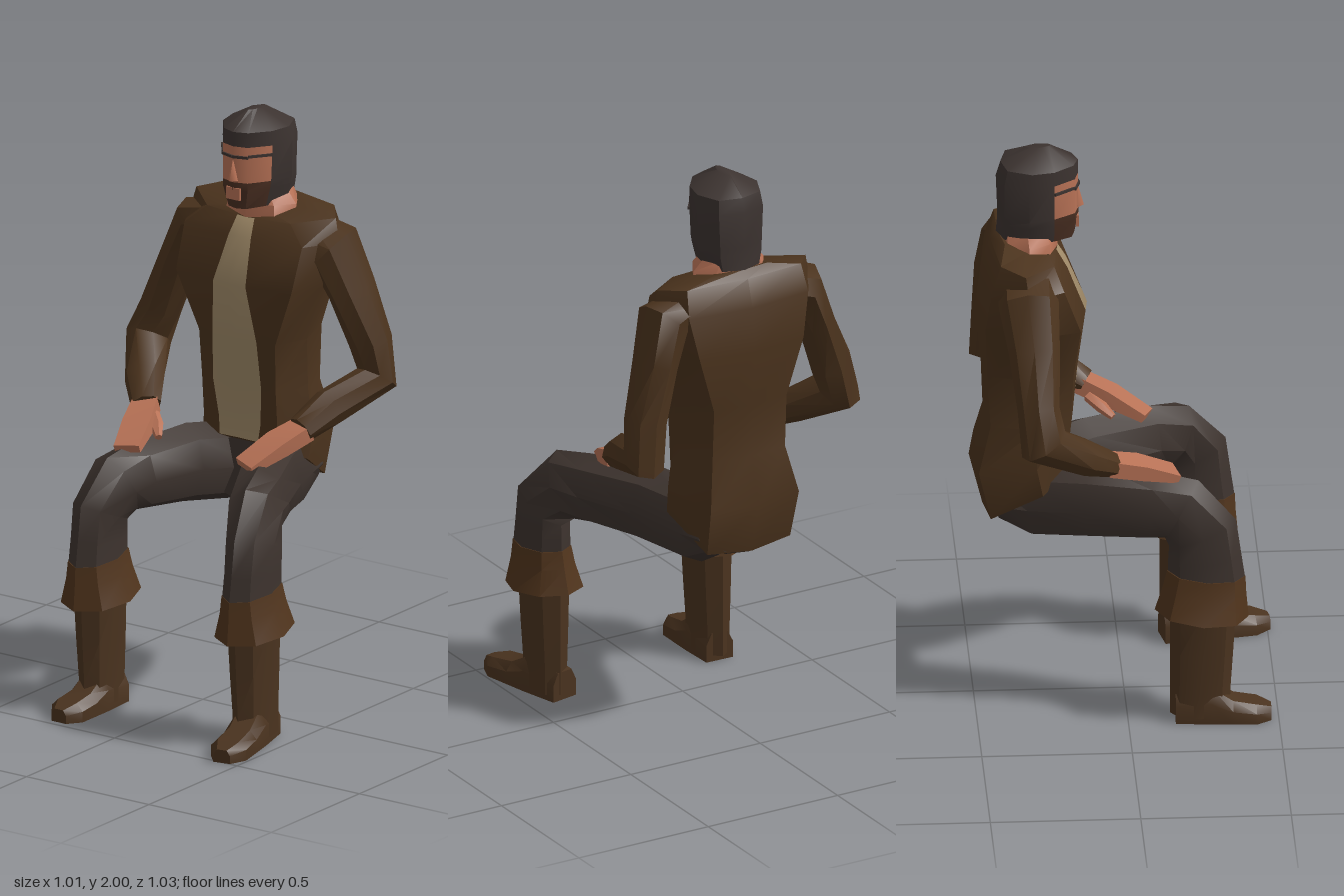
import * as THREE from 'three';
import { toCreasedNormals } from 'three/addons/utils/BufferGeometryUtils.js';

const mat = (name, color) => {
  const m = new THREE.MeshStandardMaterial({ color });
  m.name = name;
  return m;
};

export function createModel() {
  const group = new THREE.Group();
  const coat = mat('coat brown', 0x4b331d);
  const shirt = mat('shirt cream', 0xa08a68);
  const trousers = mat('trouser grey', 0x3d332e);
  const hair = mat('hood grey', 0x3c3330);
  const skin = mat('skin', 0xb87256);
  const beard = mat('beard brown', 0x4a2f22);
  const cuffBrown = mat('cuff brown', 0x50341c);
  const bootBrown = mat('boot brown', 0x4a331f);

  const add = (name, geo, material) => {
    const mesh = new THREE.Mesh(geo, material);
    mesh.name = name;
    group.add(mesh);
    return mesh;
  };

  // Skin closed rings of points into a capped solid; pick(row, side) gives a material index
  function loft(name, rings, mats, pick = () => 0, crease = 0.7) {
    const n = rings[0].length;
    const list = [].concat(mats);
    const faces = list.map(() => []);
    for (let i = 0; i < rings.length - 1; i++) {
      for (let j = 0; j < n; j++) {
        const a = i * n + j, b = i * n + (j + 1) % n;
        faces[pick(i, j)].push(a, b, b + n, a, b + n, a + n);
      }
    }
    const top = (rings.length - 1) * n;
    for (let j = 1; j < n - 1; j++) {
      faces[0].push(0, j + 1, j, top, top + j, top + j + 1);
    }
    const geo = new THREE.BufferGeometry();
    geo.setAttribute('position', new THREE.Float32BufferAttribute(rings.flat(2), 3));
    geo.setIndex(faces.flat());
    let start = 0;
    faces.forEach((f, k) => { geo.addGroup(start, f.length, k); start += f.length; });
    return add(name, toCreasedNormals(geo, crease), Array.isArray(mats) ? mats : list[0]);
  }

  // Limb through sections [x, y, z, half width, half depth]
  function limb(name, sections, material, n = 8, turn = 0) {
    const pts = sections.map(s => new THREE.Vector3(s[0], s[1], s[2]));
    const rings = sections.map((s, i) => {
      const t = new THREE.Vector3();
      if (i > 0) t.add(pts[i].clone().sub(pts[i - 1]).normalize());
      if (i < pts.length - 1) t.add(pts[i + 1].clone().sub(pts[i]).normalize());
      t.normalize();
      const u = new THREE.Vector3(1, 0, 0).addScaledVector(t, -t.x).normalize();
      const v = t.clone().cross(u);
      return Array.from({ length: n }, (_, j) => {
        const a = turn + j / n * Math.PI * 2;
        return pts[i].clone().addScaledVector(u, Math.cos(a) * s[3])
          .addScaledVector(v, Math.sin(a) * s[4]).toArray();
      });
    });
    return loft(name, rings, material);
  }

  // Symmetric ten-point ring: [yFront, yBack, four (x, z) pairs front to back, zFront, zBack]
  function bodyRing(cx, [yF, yB, s, zs, a, za, w, zw, b, zb, zf, zc]) {
    const half = [[s, zs], [a, za], [w, zw], [b, zb]];
    const loop = [[0, zf], ...half, [0, zc], ...half.slice().reverse().map(([x, z]) => [-x, z])];
    return loop.map(([x, z]) => [cx + x, yF + (yB - yF) * (zf - z) / (zf - zc), z]);
  }
  const front = j => j === 0 || j === 9;
  const face = j => front(j) || j === 1 || j === 8;

  // Jacket, with the shirt showing down the front
  const torso = [
    [.87, .69, .078, -.185, .14, -.19, .215, -.28, .16, -.45, -.18, -.47],
    [.93, .87, .085, -.19, .15, -.195, .222, -.3, .17, -.49, -.185, -.515],
    [1.06, 1.03, .098, -.175, .15, -.185, .2, -.3, .14, -.45, -.165, -.468],
    [1.22, 1.22, .09, -.16, .155, -.175, .195, -.3, .14, -.46, -.15, -.475],
    [1.42, 1.42, .066, -.13, .235, -.155, .27, -.28, .2, -.47, -.122, -.495],
    [1.57, 1.57, .045, -.19, .24, -.21, .305, -.33, .23, -.45, -.185, -.475],
    [1.63, 1.665, .035, -.225, .17, -.24, .285, -.34, .22, -.42, -.22, -.445],
    [1.645, 1.69, .02, -.25, .08, -.26, .13, -.33, .1, -.4, -.245, -.42],
  ].map(r => bodyRing(.014, r));
  loft('jacket', torso, [coat, shirt], (i, j) => (i < 6 && front(j) ? 1 : 0));

  // Neck
  limb('neck', [[.015, 1.6, -.32, .14, .1], [.015, 1.675, -.32, .135, .1],
    [.015, 1.72, -.325, .095, .09], [.015, 1.78, -.31, .08, .08]], skin);

  // Head: hood, face and beard in one surface
  const head = [
    [1.675, 1.69, .035, -.175, .075, -.235, .1, -.32, .07, -.4, -.165, -.425],
    [1.745, 1.745, .05, -.165, .092, -.235, .115, -.32, .08, -.4, -.15, -.42],
    [1.77, 1.77, .05, -.165, .096, -.235, .12, -.32, .08, -.4, -.15, -.42],
    [1.895, 1.895, .05, -.165, .102, -.235, .122, -.32, .085, -.4, -.152, -.425],
    [1.945, 1.945, .05, -.17, .1, -.235, .115, -.31, .08, -.39, -.152, -.41],
    [2, 1.995, .01, -.25, .015, -.27, .02, -.29, .01, -.31, -.24, -.33],
  ].map(r => bodyRing(.014, r));
  loft('head', head, [hair, skin, beard], (i, j) => {
    if (!face(j) || i > 2) return 0;
    return i === 2 ? 1 : 2;
  });

  // Nose, mouth and brows
  const nose = add('nose', new THREE.ConeGeometry(.02, .075, 4), skin);
  nose.position.set(.014, 1.815, -.152);
  const plate = (name, w, h, x, y, z, ry, material) => {
    const m = add(name, new THREE.BoxGeometry(w, h, .009), material);
    m.position.set(x, y, z);
    m.rotation.y = ry;
  };
  plate('mouth', .055, .042, .014, 1.73, -.155, 0, skin);
  for (const s of [-1, 1]) {
    plate('brow', .055, .009, .014 + s * .026, 1.86, -.157, s * .29, hair);
    plate('browEnd', .085, .009, .014 + s * .077, 1.864, -.2, s * .93, hair);
  }

  // Arms, hands and thumbs
  limb('leftArm', [[.18, 1.57, -.34, .07, .1], [.285, 1.54, -.35, .085, .11],
    [.335, 1.4, -.38, .065, .1], [.39, 1.22, -.41, .072, .075],
    [.405, 1.09, -.425, .068, .08], [.355, 1.03, -.22, .062, .065],
    [.32, .975, -.11, .052, .045]], coat);
  limb('rightArm', [[-.15, 1.57, -.33, .07, .1], [-.255, 1.54, -.33, .085, .1],
    [-.32, 1.4, -.315, .065, .085], [-.39, 1.22, -.305, .075, .07],
    [-.43, 1.11, -.29, .075, .085], [-.345, 1.02, -.15, .07, .06],
    [-.275, .96, -.06, .052, .042]], coat);
  const corner = Math.PI / 4;
  limb('leftHand', [[.325, .975, -.13, .06, .04], [.285, .94, -.03, .07, .037],
    [.235, .885, .09, .063, .02]], skin, 4, corner);
  limb('rightHand', [[-.28, .96, -.07, .06, .04], [-.235, .925, .04, .07, .037],
    [-.195, .88, .16, .063, .02]], skin, 4, corner);
  limb('leftThumb', [[.27, .945, -.1, .025, .02], [.225, .925, -.06, .025, .02],
    [.2, .9, -.025, .012, .012]], skin, 6);
  limb('rightThumb', [[-.235, .94, -.04, .025, .02], [-.19, .92, 0, .025, .02],
    [-.155, .895, .035, .012, .012]], skin, 6);

  // Seat of the trousers
  limb('seat', [[.02, .745, -.46, .13, .06], [.02, .745, -.32, .19, .125],
    [.02, .76, -.19, .17, .11]], trousers);

  // Legs: hip, thigh and knee differ in stance; the rest follows the shin
  const legs = [
    { side: 'left', hip: .11, thigh: [.19, .295, .345], shin: .388, yaw: .2, reach: 1 },
    { side: 'right', hip: -.075, thigh: [-.155, -.205, -.222], shin: -.24, yaw: -.03, reach: .87 },
  ];
  for (const { side, hip, thigh, shin, yaw, reach } of legs) {
    limb(side + 'TrouserLeg', [[hip, .75, -.42, .08, .07], [hip, .745, -.31, .105, .135],
      [thigh[0], .77, -.11, .11, .135], [thigh[1], .77, .09, .1, .122],
      [thigh[2], .76, .18, .095, .118], [shin, .68, .248, .08, .12],
      [shin, .59, .255, .077, .122], [shin, .5, .262, .08, .128]], trousers);
    limb(side + 'Cuff', [[shin, .53, .26, .082, .131], [shin, .47, .254, .092, .14],
      [shin, .385, .245, .12, .157]], cuffBrown);
    limb(side + 'BootShaft', [[shin, .42, .25, .075, .11], [shin, .25, .245, .068, .105],
      [shin, .1, .24, .06, .1], [shin, .02, .24, .06, .1]], bootBrown);
    // Foot: cross-sections [z, half width, height] from heel to toe
    const rings = [[-.1, .05, .1], [.04, .06, .12], [.12, .062, .075], [.21, .064, .062],
      [.265, .03, .045]].map(([z, w, h]) => [[w, 0, z * reach], [w, h * .6, z * reach],
      [w * .6, h, z * reach], [-w * .6, h, z * reach], [-w, h * .6, z * reach], [-w, 0, z * reach]]);
    const foot = loft(side + 'Foot', rings, bootBrown);
    foot.position.set(shin, 0, .245);
    foot.rotation.y = yaw;
  }
  return group;
}
